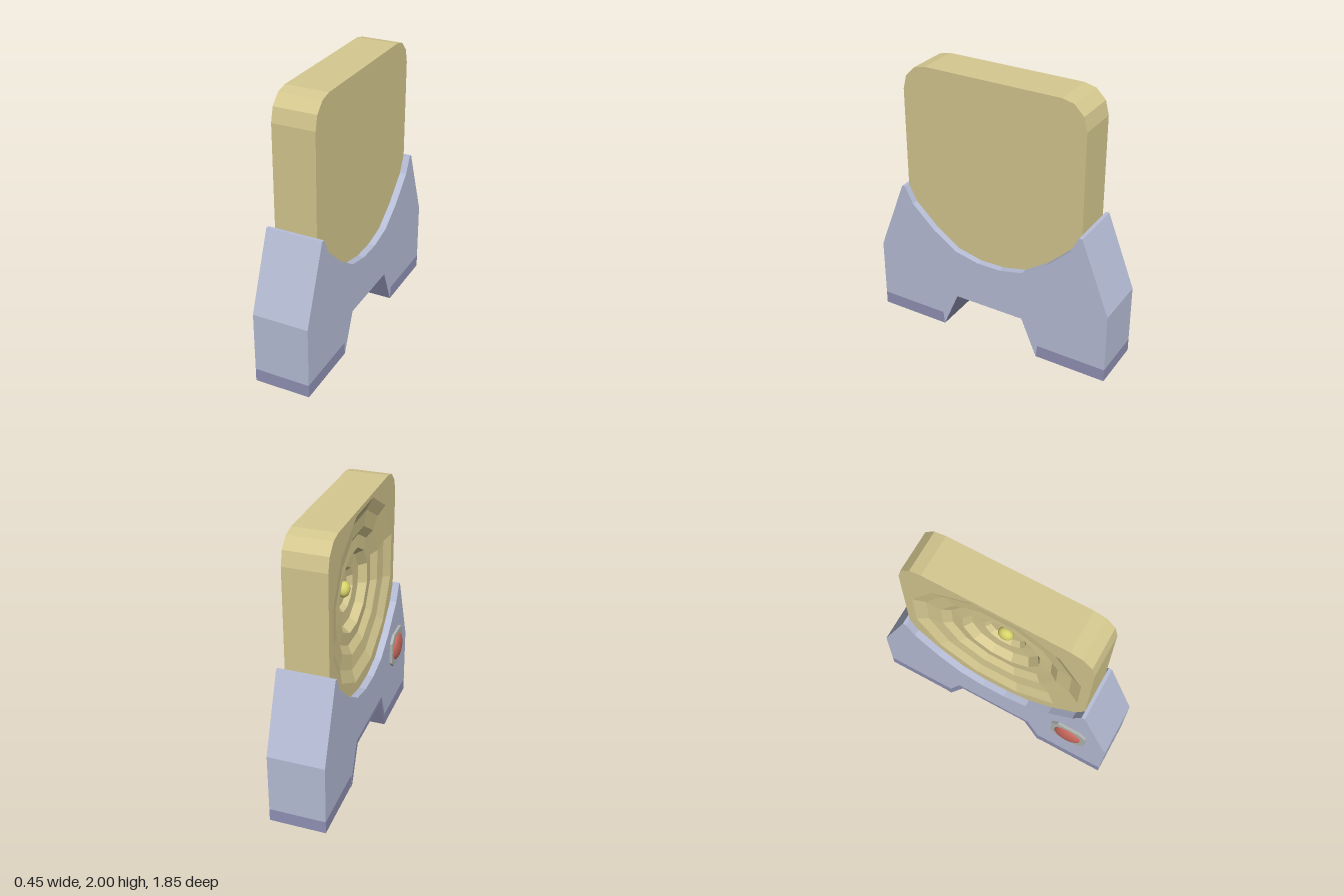
import * as THREE from 'three';

const GOLD = 0xd6c990, BLUE = 0xb8bfd8, PURPLE = 0x9293b6, RED = 0xc8685c, GREY = 0xb4b6b4, YELLOW = 0xd8d46a;

const material = (color) =>
  new THREE.MeshStandardMaterial({ color, flatShading: true, side: THREE.DoubleSide });

function mesh(name, geometry, color) {
  const m = new THREE.Mesh(geometry, material(color));
  m.name = name;
  return m;
}

// Mirrors a half outline (given on one side) into a closed symmetric outline
const mirrored = (half) => [...half, ...half.slice().reverse().map(([u, y]) => [-u, y])];

const toPoints = (list) => list.map(([u, y]) => new THREE.Vector2(u, y));

// Extrudes a side outline across the width, from x0 to x1
function slab(name, outline, x0, x1, color, hole) {
  const shape = new THREE.Shape(toPoints(outline));
  if (hole) shape.holes.push(new THREE.Path(toPoints(hole)));
  const g = new THREE.ExtrudeGeometry(shape, { depth: x1 - x0, bevelEnabled: false });
  g.rotateY(Math.PI / 2).translate(x0, 0, 0);
  return mesh(name, g, color);
}

export function createModel() {
  const model = new THREE.Group();
  model.name = 'deskSpeaker';
  const L = -0.18, R = 0.225;

  // Curve shared by the panel bottom and the cradle of the stand
  const cradle = [[0.09, 0.63], [0.27, 0.67], [0.45, 0.79], [0.63, 0.96], [0.69, 1.08]];

  // Panel with a twelve-sided recess on one face
  const panel = mirrored([...cradle, [0.69, 1.81], [0.665, 1.91], [0.595, 1.98], [0.51, 2]]);
  const cy = 1.345, radius = 0.645, sides = 12;
  const rim = [];
  for (let i = 0; i < sides; i++) {
    const a = ((i + 0.5) / sides) * Math.PI * 2;
    rim.push([radius * Math.cos(a), cy + radius * Math.sin(a)]);
  }
  model.add(slab('panelFront', panel, -0.13, 0.08, GOLD, rim));
  model.add(slab('panelBack', panel, 0.08, 0.175, GOLD));

  // Stepped dish inside the recess: radius, x
  const profile = [[radius, -0.13], [0.56, -0.095], [0.45, -0.085], [0.39, -0.05], [0.3, -0.055],
    [0.26, 0.0], [0.16, 0.005], [0.13, 0.04], [0.001, 0.04]];
  const dish = new THREE.LatheGeometry(
    profile.map(([r, x]) => new THREE.Vector2(r, -x)), sides, Math.PI / sides);
  dish.rotateZ(Math.PI / 2).translate(0, cy, 0);
  model.add(mesh('dish', dish, GOLD));

  const knob = mesh('centreKnob', new THREE.SphereGeometry(0.057, 14, 10), YELLOW);
  knob.material.flatShading = false;
  knob.scale.x = 0.75;
  knob.position.set(0.015, cy, 0);
  model.add(knob);

  // Stand with cradle and leg opening
  const stand = mirrored([[0.27, 0.285], [0.39, 0], [0.4, 0.095], [0.925, 0.095],
    [0.925, 0.535], [0.715, 1.08], ...cradle.slice().reverse()]);
  // The outline closes on itself through the cradle; the opening edge joins the ends
  model.add(slab('stand', stand, L, R, BLUE));

  // Feet
  for (const s of [1, -1]) {
    const foot = [[0.39, 0], [0.925, 0], [0.925, 0.095], [0.4, 0.095]].map(([u, y]) => [u * s, y]);
    model.add(slab('foot', foot, L, R, PURPLE));
  }

  // Lining of the leg opening, with a wider trim on the button side
  const lining = (t) => mirrored([[0.39, 0], [0.27, 0.285]])
    .concat(mirrored([[0.39 + t, 0], [0.27 + t * 0.7, 0.285 + t]]).reverse());
  const arch = (t) => {
    const inner = [[0.39, 0], [0.27, 0.285], [-0.27, 0.285], [-0.39, 0]];
    const outer = lining(t).slice(4);
    return [...inner, ...outer];
  };
  const grow = (t) => arch(t).map(([u, y], i) => (i < 4 ? [u * 0.996, y * 0.996] : [u, y]));
  model.add(slab('openingLining', grow(0.004), L + 0.001, R - 0.001, PURPLE));
  model.add(slab('openingTrim', grow(0.035), L - 0.002, L + 0.01, PURPLE));

  // Button on a clipped-corner plate
  const by = 0.585, bz = 0.625, h = 0.135, c = 0.085;
  const plate = [[h, c], [c, h], [-c, h], [-h, c], [-h, -c], [-c, -h], [c, -h], [h, -c]]
    .map(([u, y]) => [u - bz, y + by]);
  model.add(slab('buttonPlate', plate, -0.2, L, GREY));

  const button = mesh('button', new THREE.SphereGeometry(0.105, 20, 14), RED);
  button.material.flatShading = false;
  button.scale.x = 0.32;
  button.position.set(-0.196, by, bz);
  model.add(button);

  return model;
}
